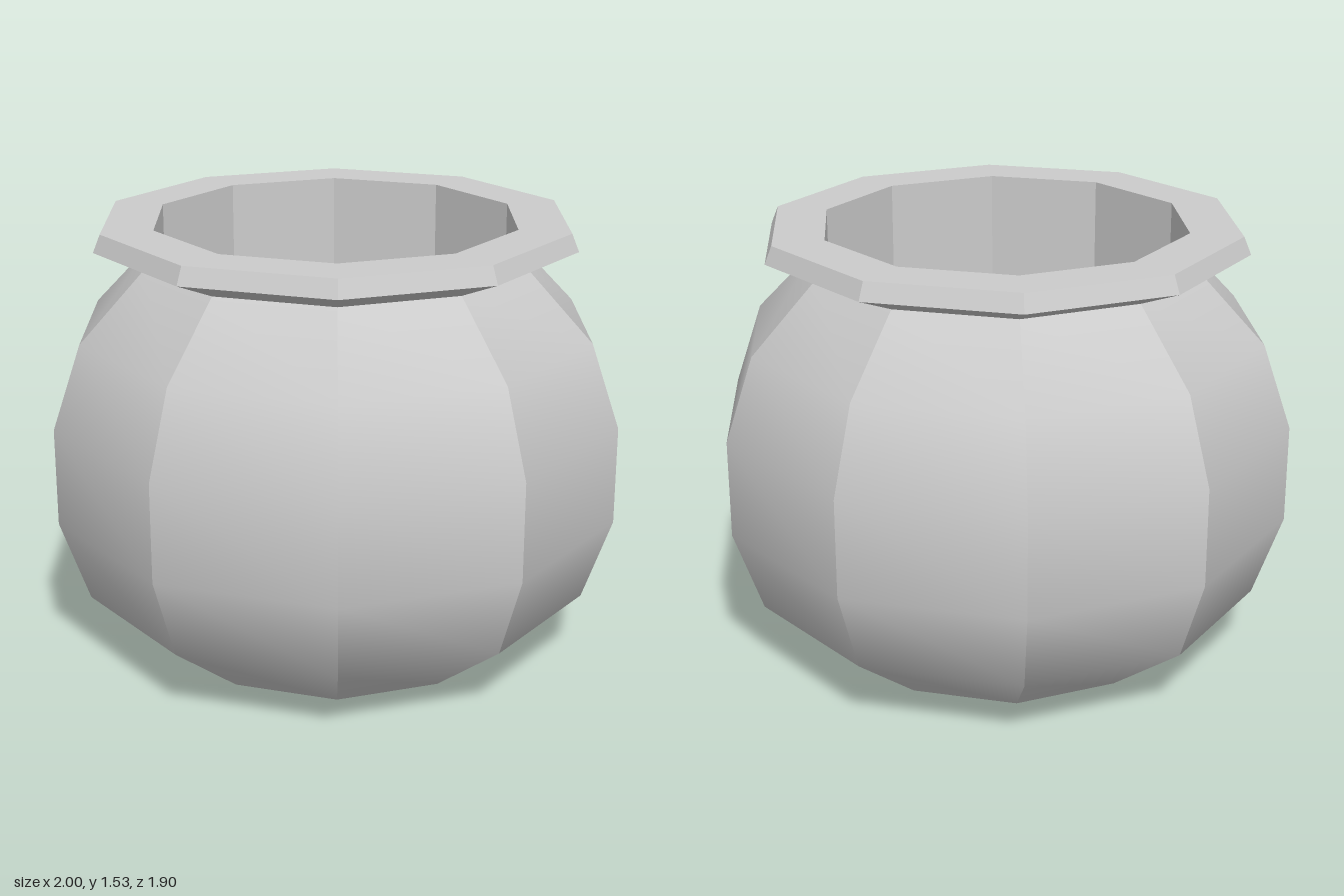
import * as THREE from 'three';
import { mergeGeometries } from 'three/addons/utils/BufferGeometryUtils.js';

const SIDES = 10;
const STEP = (Math.PI * 2) / SIDES;

// Turn a profile into ten flat-sided panels; smooth ones are rounded only up and down.
function turned(name, profile, smooth) {
  const points = profile.map(([r, y]) => new THREE.Vector2(r, y));
  const panels = [];
  for (let i = 0; i < SIDES; i++) {
    let panel = new THREE.LatheGeometry(points, 1, Math.PI / 2 + i * STEP, STEP);
    if (!smooth) panel = panel.toNonIndexed();
    panel.computeVertexNormals();
    panels.push(panel);
  }
  const mesh = new THREE.Mesh(
    mergeGeometries(panels),
    new THREE.MeshStandardMaterial({ color: 0xcccccc })
  );
  mesh.name = name;
  return mesh;
}

export function createModel() {
  const pot = new THREE.Group();
  pot.name = 'pot';
  pot.add(
    // Bulging outer wall
    turned('body', [[0.59, 0], [0.9, 0.24], [1, 0.53], [1, 0.87], [0.9, 1.16], [0.67, 1.4]], true),
    // Flat underside
    turned('base', [[0, 0], [0.59, 0]], false),
    // Flared lip with a flat top
    turned('rim', [[0.67, 1.4], [0.84, 1.47], [0.815, 1.53], [0.635, 1.53]], false),
    // Straight inner wall and floor
    turned('cavity', [[0.635, 1.53], [0.635, 0.4], [0, 0.4]], false)
  );
  return pot;
}
